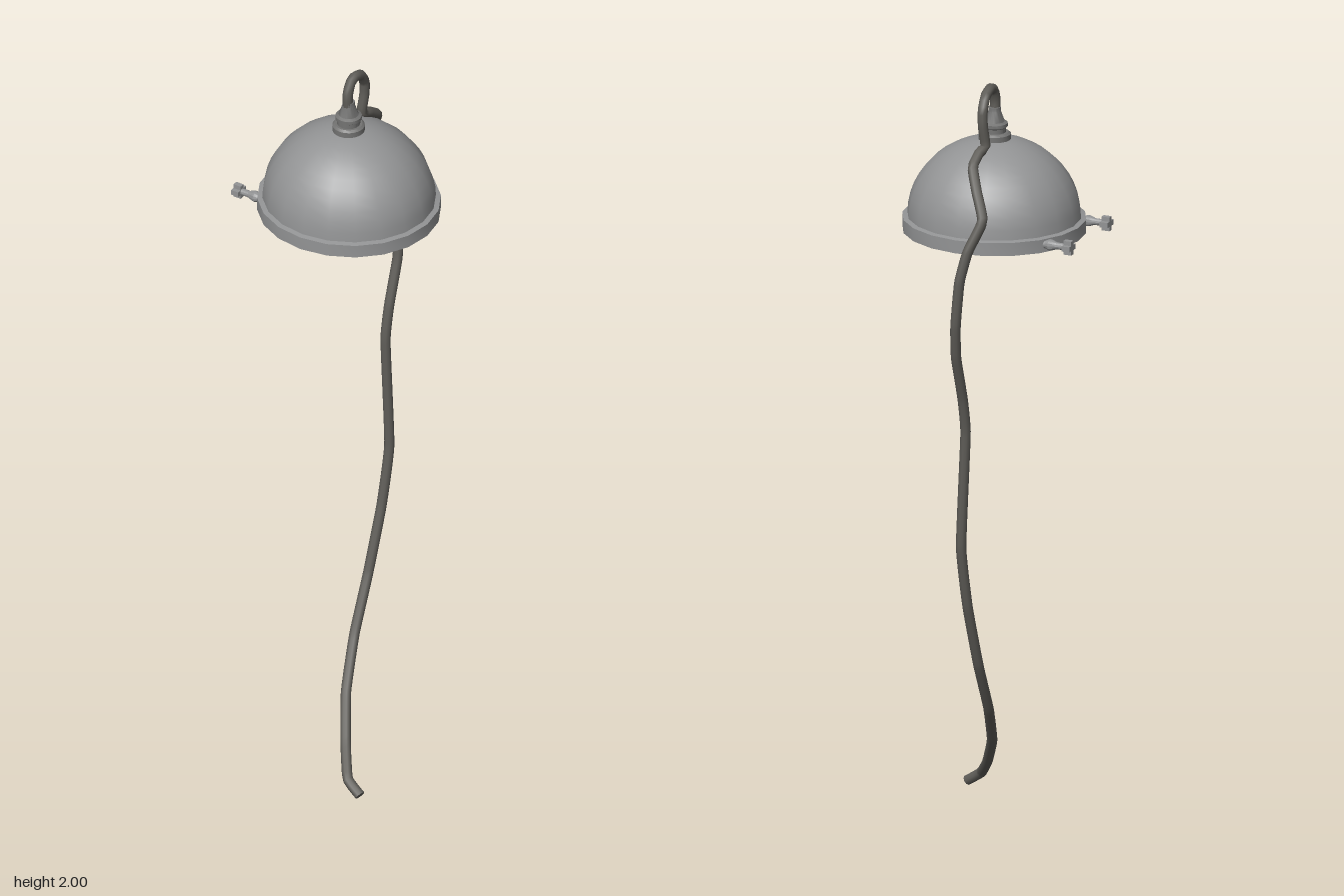
import * as THREE from 'three';
import { toCreasedNormals } from 'three/addons/utils/BufferGeometryUtils.js';

const CX = 0.0175; // axis of the shade
const grey = new THREE.MeshStandardMaterial({ color: 0x939495 });
const glandGrey = new THREE.MeshStandardMaterial({ color: 0x747473 });
const cordGrey = new THREE.MeshStandardMaterial({ color: 0x5f5d58 });

function add(parent, name, geometry, material = grey) {
  const mesh = new THREE.Mesh(geometry, material);
  mesh.name = name;
  parent.add(mesh);
  return mesh;
}

// Turned part with sharp edges kept; profile is [radius, height] pairs
function turned(profile, sides) {
  const points = profile.map(([r, y]) => new THREE.Vector2(r, y));
  return toCreasedNormals(new THREE.LatheGeometry(points, sides), 0.6);
}

// Quarter-ellipse profile from the base to the apex
function arc(radius, base, height, steps = 12) {
  return Array.from({ length: steps + 1 }, (_, i) => {
    const a = (i / steps) * Math.PI / 2;
    return [i === steps ? 0 : radius * Math.cos(a), base + height * Math.sin(a)];
  });
}

// Stem, collar and cross-shaped handle pointing towards -x
function createThumbScrew(z) {
  const screw = new THREE.Group();
  screw.name = 'thumbScrew';
  add(screw, 'screwStem', turned([
    [0.011, 0], [0.011, 0.018], [0.015, 0.028], [0.014, 0.034],
    [0.009, 0.048], [0.009, 0.075],
  ], 12));
  for (const [width, depth] of [[0.037, 0.014], [0.014, 0.037]]) {
    const bar = add(screw, 'screwHandle', new THREE.BoxGeometry(width, 0.022, depth));
    bar.position.y = 0.081;
  }
  screw.rotation.z = Math.PI / 2;
  screw.position.set(-0.168, 1.62, z);
  return screw;
}

export function createModel() {
  const model = new THREE.Group();
  model.name = 'pendantLamp';

  // Hollow domed shade, slightly narrower front to back
  const shade = new THREE.Group();
  shade.name = 'shade';
  shade.position.set(CX, 0, -0.002);
  shade.scale.z = 0.96;
  model.add(shade);
  add(shade, 'dome', turned([
    ...arc(0.216, 1.635, 0.203).reverse(),
    ...arc(0.226, 1.635, 0.212),
  ], 20));
  add(shade, 'rim', turned([
    [0.216, 1.638], [0.216, 1.6], [0.239, 1.6], [0.239, 1.635], [0.225, 1.638],
  ], 20));

  // Stepped cable gland on top of the shade
  const gland = add(model, 'cableGland', turned([
    [0.042, 1.838], [0.042, 1.857], [0.036, 1.862], [0.03, 1.862],
    [0.03, 1.874], [0.034, 1.877], [0.034, 1.886], [0.026, 1.89],
    [0.016, 1.918], [0.016, 1.928], [0, 1.928],
  ], 20), glandGrey);
  gland.position.x = CX;

  for (const z of [-0.117, 0.108]) model.add(createThumbScrew(z));

  // Cord: loops over the gland, follows the dome, then hangs to the floor
  const path = [
    [0.0175, 1.9, 0.003], [0.0175, 1.95, 0.004], [0.017, 1.978, -0.008],
    [0.016, 1.986, -0.03], [0.014, 1.974, -0.062], [0.011, 1.94, -0.085],
    [0.009, 1.9, -0.087], [0.005, 1.847, -0.08], [0.01, 1.835, -0.108],
    [0.01, 1.808, -0.145], [-0.02, 1.757, -0.184], [-0.05, 1.69, -0.212],
    [-0.02, 1.61, -0.238], [-0.003, 1.53, -0.251], [0.008, 1.41, -0.251],
    [0.014, 1.32, -0.235], [0.015, 1.2, -0.195], [0.015, 1.1, -0.177],
    [0.03, 0.79, -0.172], [0.027, 0.62, -0.14], [0.025, 0.445, -0.08],
    [0.035, 0.305, 0], [0.068, 0.19, 0.09], [0.122, 0.1, 0.175],
    [0.172, 0.043, 0.242], [0.216, 0.013, 0.252],
  ].map((p) => new THREE.Vector3(...p));
  const curve = new THREE.CatmullRomCurve3(path, false, 'catmullrom', 0.2);
  const cord = new THREE.Group();
  cord.name = 'cord';
  model.add(cord);
  add(cord, 'cordTube', new THREE.TubeGeometry(curve, 140, 0.0135, 10), cordGrey);
  const end = add(cord, 'cordEnd', new THREE.CircleGeometry(0.0135, 10), cordGrey);
  end.position.copy(curve.getPoint(1));
  end.lookAt(end.position.clone().add(curve.getTangent(1)));

  return model;
}
